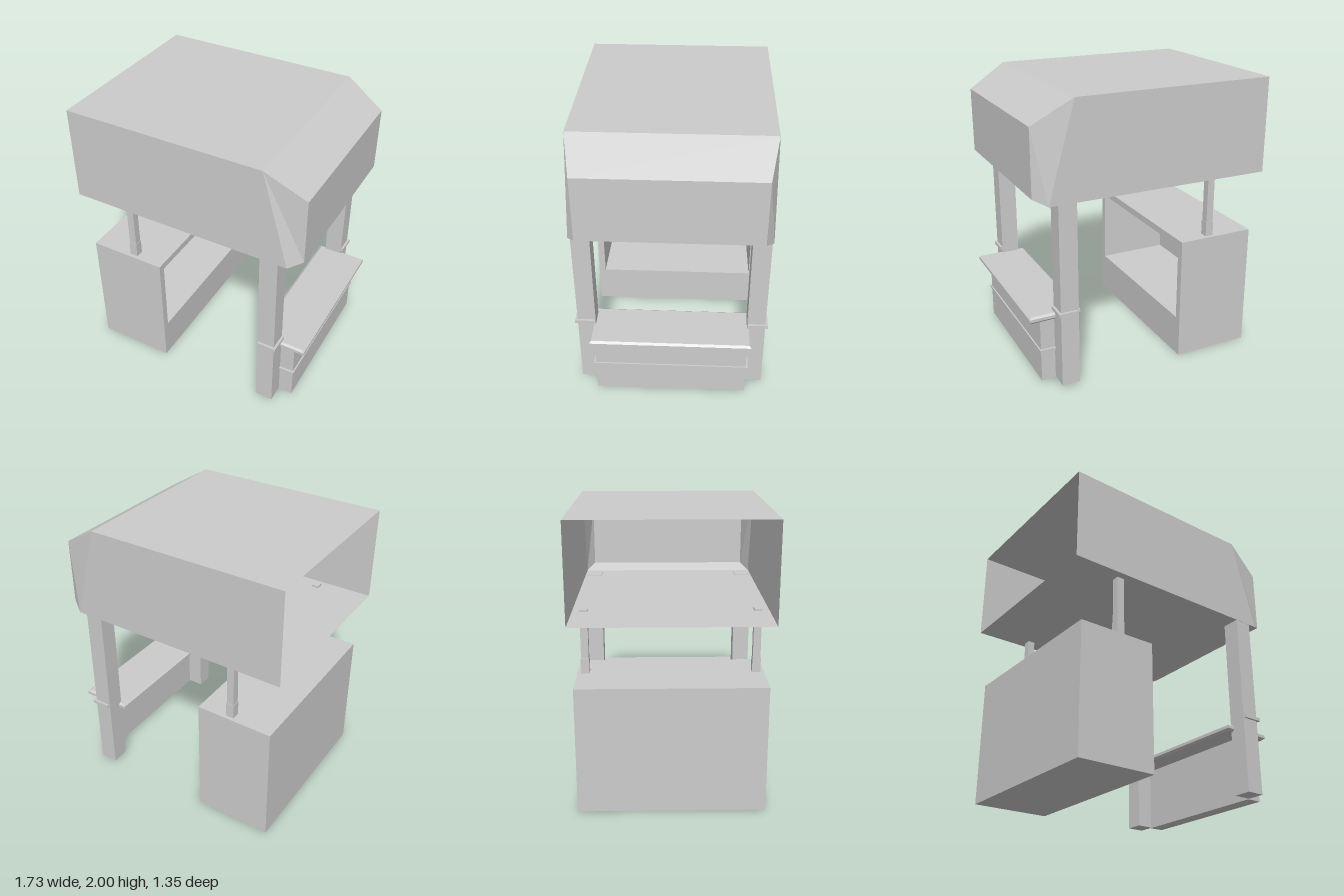
import * as THREE from 'three';

const material = new THREE.MeshStandardMaterial({ color: 0xcccccc, flatShading: true, side: THREE.DoubleSide });

// Skin a row of four-cornered rings, optionally closing the ends
function loft(rings, capStart = true, capEnd = true) {
  const pos = [];
  const quad = (a, b, c, d) => [a, b, c, a, c, d].forEach((p) => pos.push(...p));
  for (let i = 0; i < rings.length - 1; i++) {
    for (let j = 0; j < 4; j++) {
      const k = (j + 1) % 4;
      quad(rings[i][j], rings[i][k], rings[i + 1][k], rings[i + 1][j]);
    }
  }
  if (capStart) quad(...[...rings[0]].reverse());
  if (capEnd) quad(...rings[rings.length - 1]);
  const geometry = new THREE.BufferGeometry();
  geometry.setAttribute('position', new THREE.Float32BufferAttribute(pos, 3));
  geometry.computeVertexNormals();
  return geometry;
}

// Upright ring facing +x; bottom and top edges may sit at different x
const ringX = (xBottom, xTop, y0, y1, z) =>
  [[xBottom, y0, z], [xBottom, y0, -z], [xTop, y1, -z], [xTop, y1, z]];

// Level ring facing +y
const ringY = (y, x0, x1, z) => [[x0, y, z], [x1, y, z], [x1, y, -z], [x0, y, -z]];

export function createModel() {
  const group = new THREE.Group();

  const add = (name, geometry, parent = group) => {
    const mesh = new THREE.Mesh(geometry, material);
    mesh.name = name;
    parent.add(mesh);
    return mesh;
  };
  const box = (name, x0, x1, y0, y1, z0, z1, parent) =>
    add(name, new THREE.BoxGeometry(x1 - x0, y1 - y0, Math.abs(z1 - z0)), parent)
      .position.set((x0 + x1) / 2, (y0 + y1) / 2, (z0 + z1) / 2);

  // Hollow canopy, open at the rear and chamfered at the serving end
  add('canopy', loft([
    ringX(-0.87, -0.87, 1.33, 2, 0.662),
    ringX(0.74, 0.555, 1.33, 2, 0.662),
    ringX(0.83, 0.83, 1.375, 1.835, 0.605),
  ], false, true));

  // Rear cabinet with a recessed compartment facing the counter
  add('cabinet', loft([
    ringX(-0.805, -0.805, 0, 0.895, 0.64),
    ringX(-0.245, -0.245, 0, 0.895, 0.64),
    ringX(-0.245, -0.245, 0.29, 0.845, 0.59),
    ringX(-0.78, -0.78, 0.295, 0.83, 0.58),
  ]));

  // Serving counter: panel, trim strip and chamfered top board
  box('counterPanel', 0.67, 0.78, 0.02, 0.49, -0.535, 0.535);
  box('counterTrim', 0.67, 0.79, 0.245, 0.263, -0.55, 0.55);
  add('counterTop', loft([
    ringY(0.483, 0.512, 0.845, 0.546),
    ringY(0.497, 0.495, 0.86, 0.56),
    ringY(0.518, 0.495, 0.86, 0.56),
    ringY(0.531, 0.512, 0.845, 0.546),
  ]));

  for (const s of [1, -1]) {
    const side = s > 0 ? 'left' : 'right';

    // Thick front pillar with a collar
    const pillar = new THREE.Group();
    pillar.name = side + 'FrontPillar';
    group.add(pillar);
    box('pillarShaft', 0.55, 0.678, 0.025, 1.335, s * 0.533, s * 0.66, pillar);
    box('pillarCollar', 0.56, 0.695, 0.555, 0.578, s * 0.537, s * 0.677, pillar);

    // Slim rear post with a sleeve at its foot, poking through the canopy floor
    const post = new THREE.Group();
    post.name = side + 'RearPost';
    group.add(post);
    box('postSleeve', -0.511, -0.453, 0.89, 1.0, s * 0.556, s * 0.614, post);
    box('postShaft', -0.508, -0.456, 1.0, 1.345, s * 0.559, s * 0.611, post);
  }
  return group;
}
